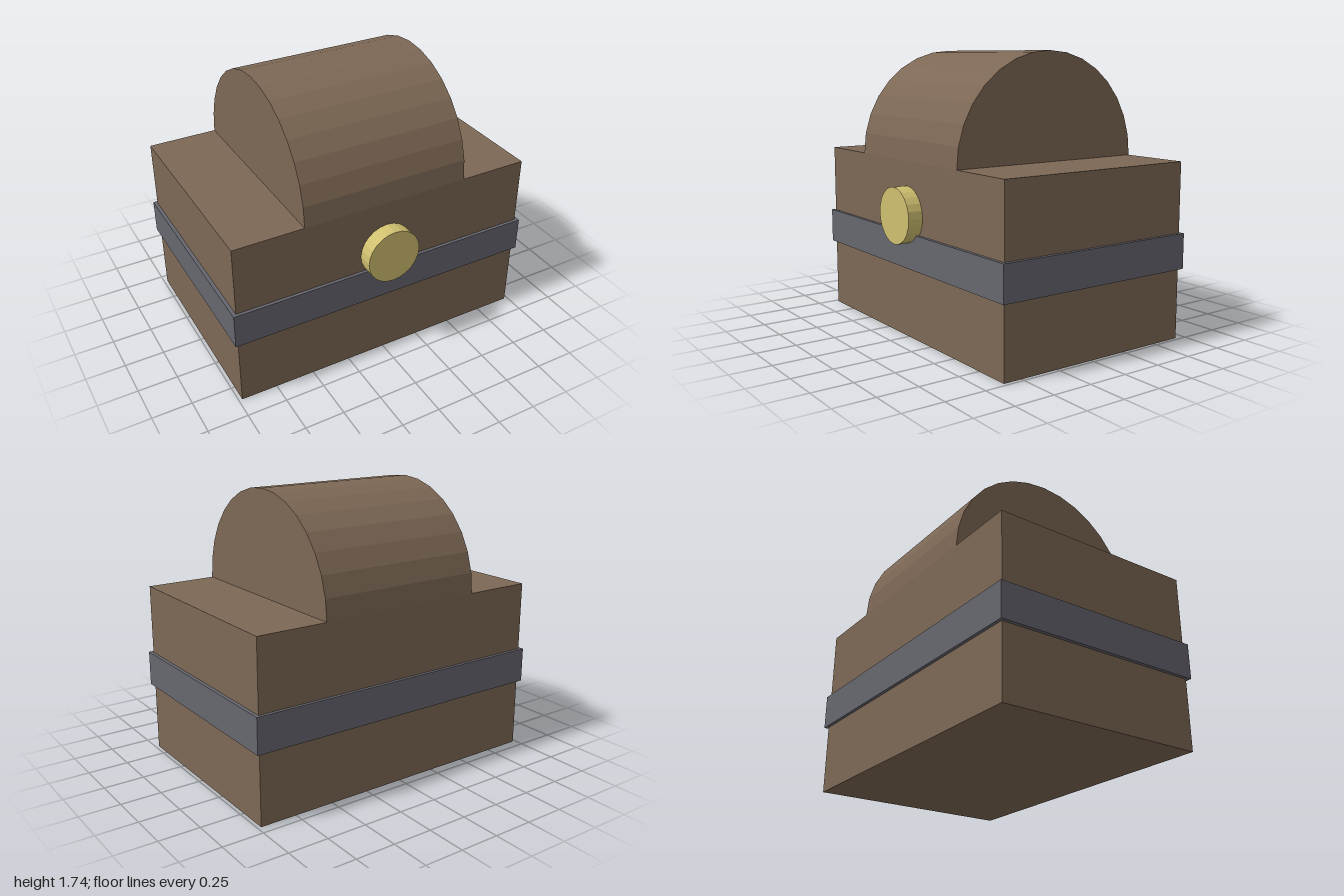
import * as THREE from 'three';

export function createModel() {
  const group = new THREE.Group();
  group.name = 'chest';
  const material = (color) => new THREE.MeshStandardMaterial({ color, flatShading: true });
  const wood = material(0x7d6855);
  const iron = material(0x66666f);
  const brass = material(0xd0c070);

  const add = (name, geometry, mat, x, y, z) => {
    const mesh = new THREE.Mesh(geometry, mat);
    mesh.name = name;
    mesh.position.set(x, y, z);
    group.add(mesh);
  };

  const depth = 1.306, height = 1.088, midZ = -0.037;

  // Box body
  add('body', new THREE.BoxGeometry(1.956, height, depth), wood, 0, height / 2, midZ);

  // Half-round lid lying along x, as deep as the body
  const lid = new THREE.CylinderGeometry(depth / 2, depth / 2, 1.076, 16, 1, false, 0, Math.PI);
  lid.rotateZ(Math.PI / 2);
  add('lid', lid, wood, 0, height, midZ);

  // Band around the body
  add('band', new THREE.BoxGeometry(2, 0.218, 1.346), iron, 0, 0.545, midZ);

  // Round lock on the front
  const lock = new THREE.CylinderGeometry(0.173, 0.173, 0.13, 24);
  lock.rotateX(Math.PI / 2);
  add('lock', lock, brass, 0, 0.764, 0.645);

  return group;
}
